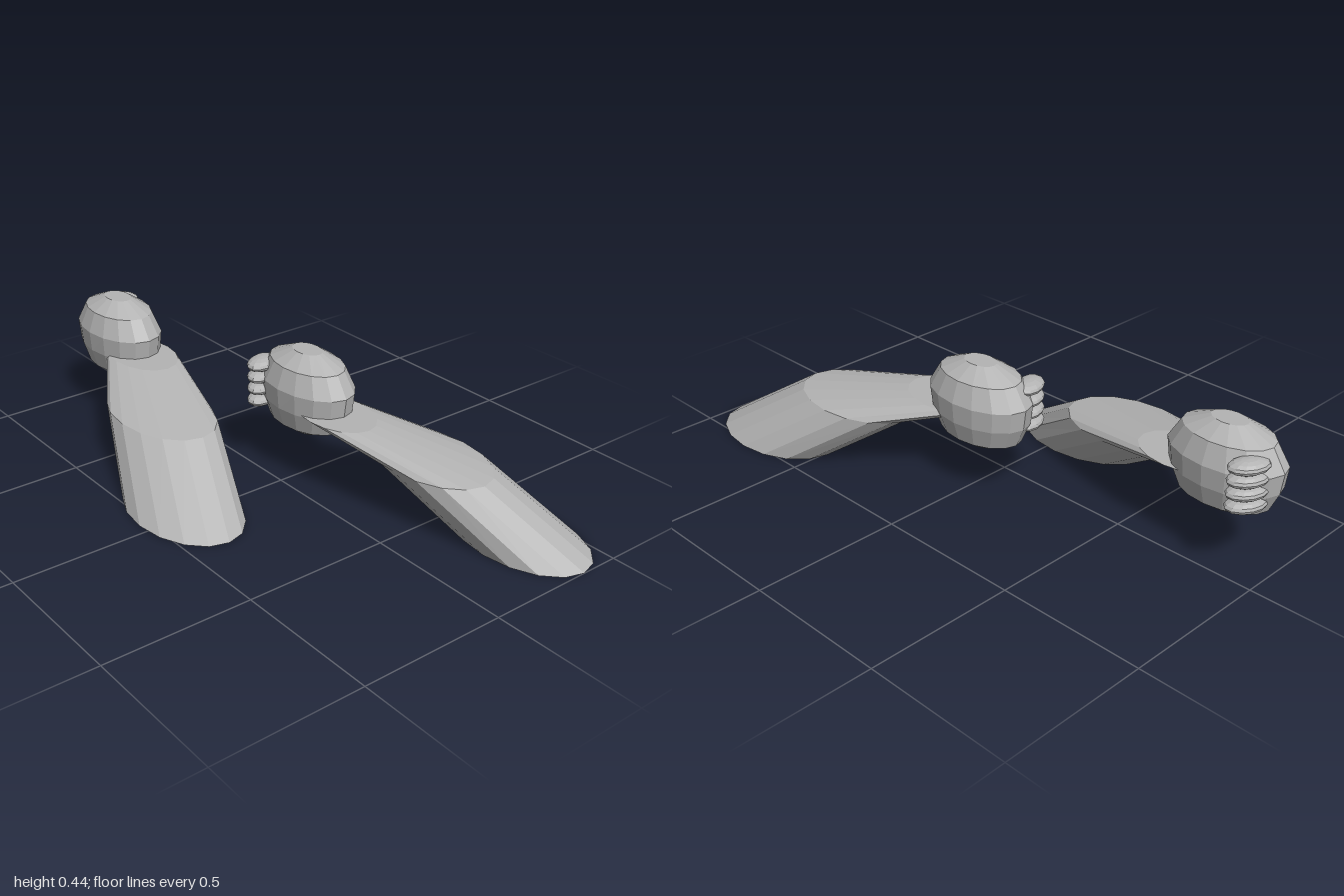
import * as THREE from 'three';

const SIDES = 16;

// Closed skin over horizontal elliptical rings [x, y, z, rx, rz], bottom to top
function loft(rings) {
  const pos = [], index = [];
  for (const [x, y, z, rx, rz] of rings) {
    for (let j = 0; j < SIDES; j++) {
      const a = (j / SIDES) * Math.PI * 2;
      pos.push(x + rx * Math.cos(a), y, z + rz * Math.sin(a));
    }
  }
  const top = (rings.length - 1) * SIDES;
  const bottomCentre = rings.length * SIDES, topCentre = bottomCentre + 1;
  pos.push(...rings[0].slice(0, 3), ...rings[rings.length - 1].slice(0, 3));
  for (let j = 0; j < SIDES; j++) {
    const k = (j + 1) % SIDES;
    for (let r = 0; r < top; r += SIDES) {
      index.push(r + j, r + SIDES + j, r + k, r + k, r + SIDES + j, r + SIDES + k);
    }
    index.push(bottomCentre, j, k, topCentre, top + k, top + j);
  }
  const g = new THREE.BufferGeometry();
  g.setAttribute('position', new THREE.Float32BufferAttribute(pos, 3));
  g.setIndex(index);
  g.computeVertexNormals();
  return g;
}

export function createModel() {
  const grey = new THREE.MeshStandardMaterial({ color: 0xb4b4b4, flatShading: true });
  grey.name = 'grey';
  const model = new THREE.Group();
  model.name = 'pairOfArms';

  function add(parent, name, geometry) {
    const mesh = new THREE.Mesh(geometry, grey);
    mesh.name = name;
    parent.add(mesh);
    return mesh;
  }

  // side: 1 = left arm, -1 = right arm; the right arm sits further back
  function arm(side, name, dz) {
    const group = new THREE.Group();
    group.name = name;
    group.position.z = dz;

    // Sleeve: wide base, elbow ring, narrow wrist
    add(group, 'forearm', loft([
      [0.367 * side, 0, 0.745, 0.167, 0.255],
      [0.245 * side, 0.2, 0.445, 0.155, 0.245],
      [0.12 * side, 0.27, 0.135, 0.108, 0.165],
    ]));

    // Fist: flat-topped ellipsoid
    const fist = [
      [0.155, 0.04, 0.06], [0.197, 0.1, 0.158], [0.265, 0.12, 0.19],
      [0.335, 0.125, 0.2], [0.405, 0.1, 0.155], [0.445, 0.041, 0.062],
    ];
    add(group, 'fist', loft(fist.map(([y, rx, rz]) => [0.12 * side, y, -0.013, rx, rz])));

    // Four stacked fingers on the inner side
    for (let i = 0; i < 4; i++) {
      const finger = add(group, 'finger' + (i + 1), new THREE.SphereGeometry(1, 12, 8));
      finger.scale.set(0.068, 0.023, 0.045);
      finger.position.set(0.035 * side, 0.247 + i * 0.042, -0.147);
      finger.rotation.y = 0.44 * side;
    }
    model.add(group);
  }

  arm(1, 'leftArm', 0);
  arm(-1, 'rightArm', -0.787);
  return model;
}
